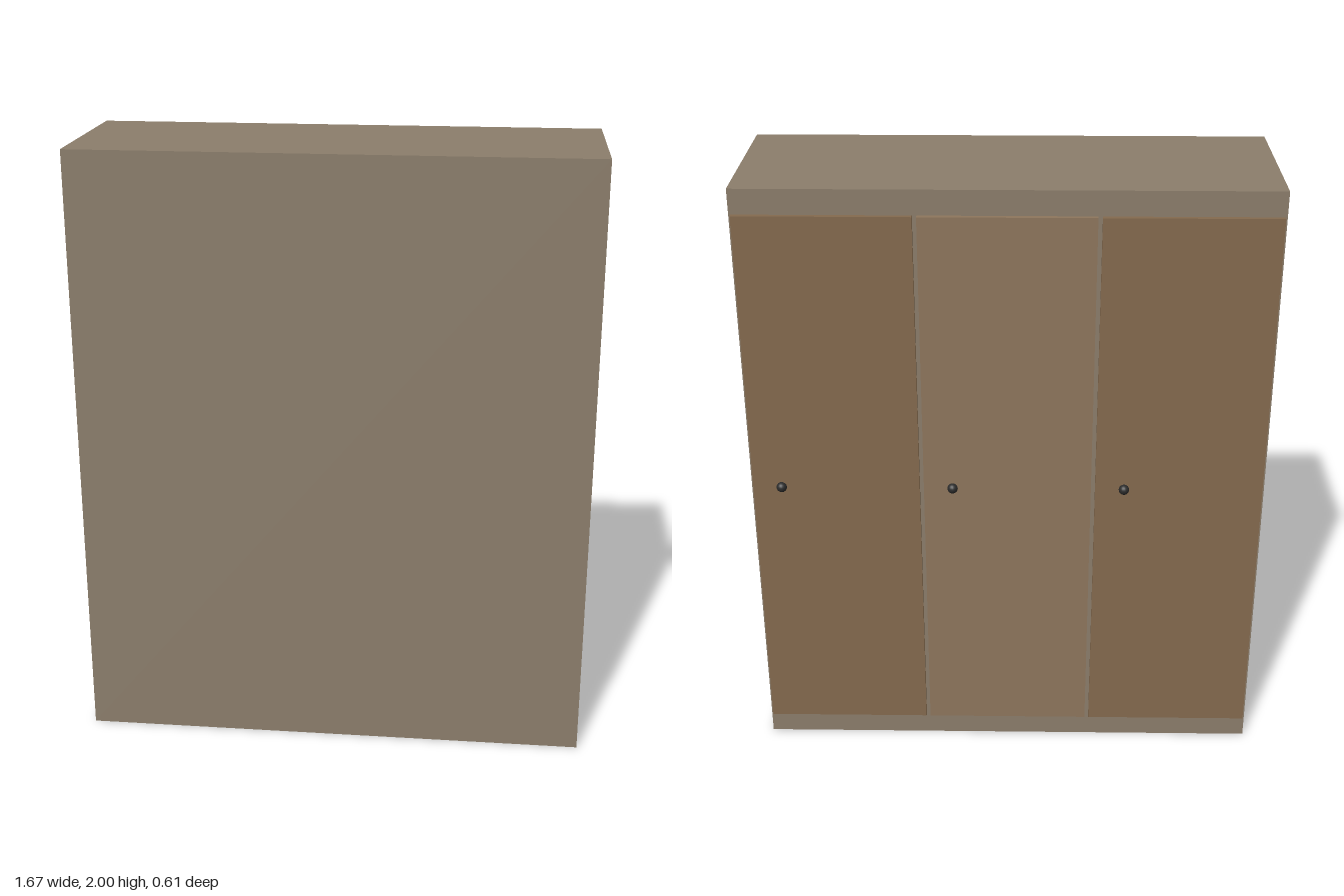
import * as THREE from 'three';

const material = (color) => new THREE.MeshStandardMaterial({ color });

export function createModel() {
  const group = new THREE.Group();
  const add = (name, geometry, mat, x, y, z) => {
    const mesh = new THREE.Mesh(geometry, mat);
    mesh.name = name;
    mesh.position.set(x, y, z);
    group.add(mesh);
  };

  const width = 1.67, height = 2, front = 0.305, back = -0.27;
  const pitch = width / 3, doorThickness = 0.016;
  const doorFace = back - doorThickness;

  // Solid cabinet body
  add('cabinetBody', new THREE.BoxGeometry(width, height, front - back),
    material(0x8b7d6b), 0, height / 2, (front + back) / 2);

  // Three door panels on the -z face, each with a small round knob
  const doorGeometry = new THREE.BoxGeometry(0.543, 1.84, doorThickness);
  const knobGeometry = new THREE.SphereGeometry(0.017, 16, 12);
  const outerWood = material(0x846a4e);
  const middleWood = material(0x8e765c);
  const knobMaterial = material(0x2b2b2b);
  ['right', 'middle', 'left'].forEach((side, i) => {
    const x = (i - 1) * pitch;
    add(side + 'Door', doorGeometry, i === 1 ? middleWood : outerWood,
      x, height / 2, back - doorThickness / 2);
    add(side + 'Knob', knobGeometry, knobMaterial, x + 0.178, height / 2, doorFace - 0.003);
  });

  return group;
}
